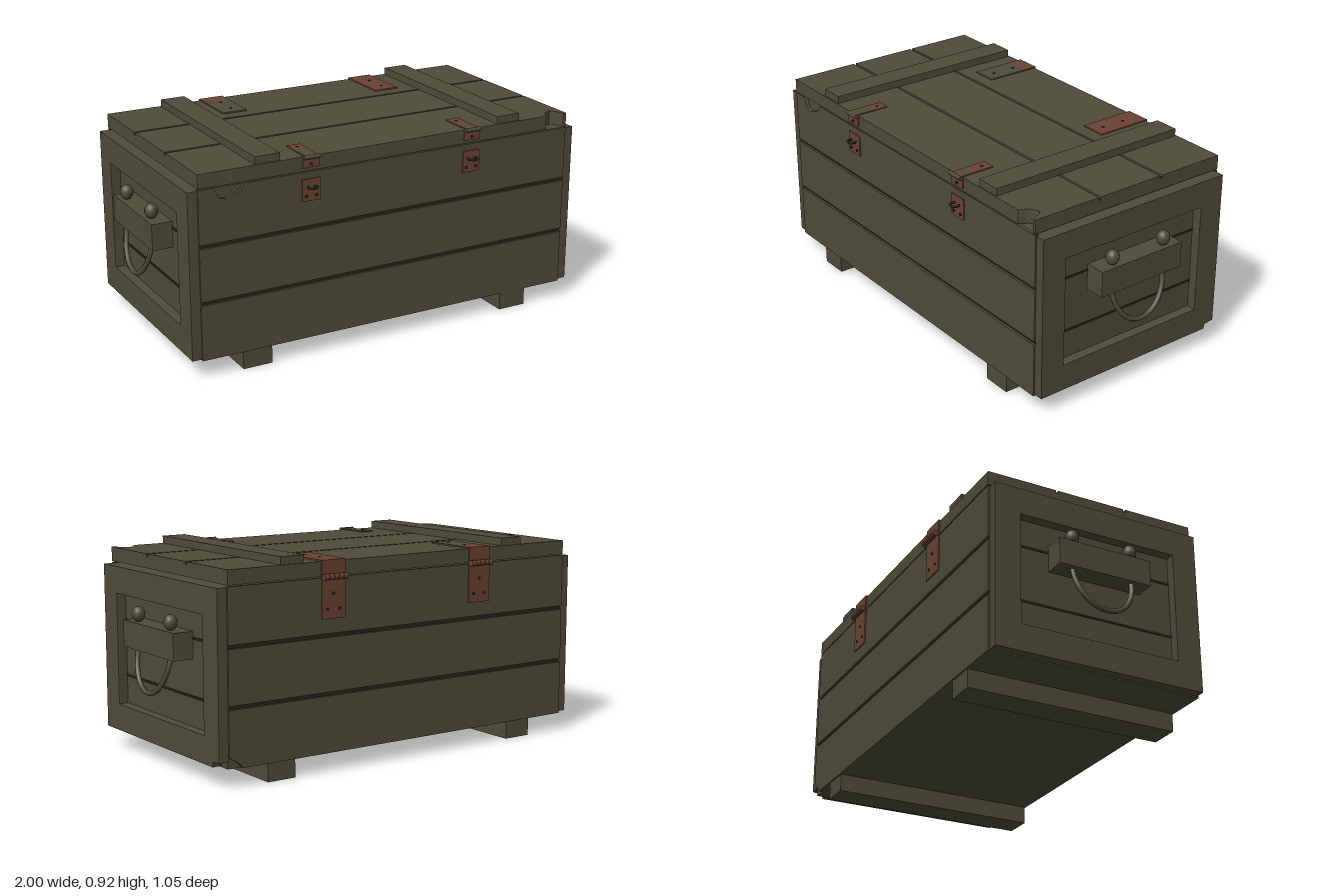
import * as THREE from 'three';

const paint = (name, color, side = THREE.FrontSide) => {
  const m = new THREE.MeshStandardMaterial({ color, side });
  m.name = name;
  return m;
};

export function createModel() {
  const wood = paint('olive wood', 0x4f4b39);
  const dark = paint('dark groove', 0x25231c);
  const rust = paint('rusty metal', 0x6b4233);

  const group = (name, parent) => {
    const g = new THREE.Group();
    g.name = name;
    if (parent) parent.add(g);
    return g;
  };
  const add = (parent, name, geometry, material, x = 0, y = 0, z = 0) => {
    const m = new THREE.Mesh(geometry, material);
    m.name = name;
    m.position.set(x, y, z);
    parent.add(m);
    return m;
  };
  // Box given by its limits on each axis
  const box = (parent, name, mat, x0, x1, y0, y1, z0, z1) =>
    add(parent, name, new THREE.BoxGeometry(x1 - x0, y1 - y0, z1 - z0), mat,
      (x0 + x1) / 2, (y0 + y1) / 2, (z0 + z1) / 2);
  const outline = (pts) => new THREE.Shape(pts.map(([a, b]) => new THREE.Vector2(a, b)));
  const slab = (shape, depth) => new THREE.ExtrudeGeometry(shape, { depth, bevelEnabled: false });

  const crate = group('crate');
  const body = group('body', crate);
  const lid = group('lid', crate);
  const W = 0.893, F = 0.48, B = -0.49, T = 0.016;

  // Body core, with dark strips at the bottom of the board gaps
  box(body, 'core', wood, -W, W, 0.08, 0.812, B + T, F - T);
  for (const y of [0.33, 0.575]) {
    box(body, 'frontGroove', dark, -W, W, y - 0.008, y + 0.008, F - T, F - T + 0.006);
    box(body, 'backGroove', dark, -W, W, y - 0.008, y + 0.008, B + T - 0.006, B + T);
    for (const s of [-1, 1]) {
      const x = s * (W + 0.001);
      box(body, 'endGroove', dark, x - 0.002, x + 0.002, y - 0.005, y + 0.005, -0.37, 0.365);
    }
  }

  // Long side boards, the top front and bottom back ones chipped
  const rows = [[0.08, 0.322], [0.338, 0.567], [0.583, 0.816]];
  rows.forEach(([y0, y1], i) => {
    const front = [[-W, y0], [W, y0], [W, y1]];
    if (i === 2) front.push([-0.69, y1], [-0.7, 0.79], [-0.73, 0.777], [-0.77, 0.762], [-0.8, 0.77], [-0.825, y1]);
    front.push([-W, y1]);
    add(body, 'frontBoard', slab(outline(front), T), wood, 0, 0, F - T);
    const back = [[-W, y0]];
    if (i === 0) back.push([0.83, y0], [0.845, 0.1], [0.87, 0.115], [W, 0.13]);
    else back.push([W, y0]);
    back.push([W, y1], [-W, y1]);
    add(body, 'backBoard', slab(outline(back), T), wood, 0, 0, B);
  });

  // End frames around a recessed panel; one has a broken lower corner
  for (const s of [-1, 1]) {
    const pts = [[-0.473, 0.086], [0.481, 0.086], [0.481, 0.812], [-0.473, 0.812]];
    if (s > 0) pts.splice(1, 1, [0.43, 0.086], [0.435, 0.108], [0.481, 0.112]);
    const shape = outline(pts);
    shape.holes.push(new THREE.Path([[-0.36, 0.204], [-0.36, 0.695], [0.366, 0.695], [0.366, 0.204]]
      .map(([a, b]) => new THREE.Vector2(a, b))));
    const geo = slab(shape, 0.043);
    geo.rotateY(Math.PI / 2);
    add(body, 'endFrame', geo, wood, s > 0 ? W : -W - 0.043);
  }

  // Feet, lid battens and small spacers under the lid
  for (const s of [-1, 1]) {
    const span = (a, b) => (s > 0 ? [a, b] : [-b, -a]);
    box(body, 'foot', wood, ...span(0.575, 0.708), 0, 0.08, -0.483, 0.475);
    box(lid, 'batten', wood, ...span(0.527, 0.64), 0.883, 0.916, -0.483, 0.475);
    for (const z of [-0.37, 0.37]) {
      box(lid, 'spacer', wood, ...span(0.6, 0.66), 0.81, 0.823, z - 0.03, z + 0.03);
    }
  }

  // Lid boards over a thin core, with a bite out of the front corner
  box(lid, 'lidCore', wood, -W, W, 0.821, 0.868, B + 0.02, 0.405);
  for (const z of [-0.169, 0.156]) {
    box(lid, 'lidGroove', dark, -W, W, 0.868, 0.873, z - 0.006, z + 0.006);
  }
  [[B, -0.175], [-0.163, 0.15], [0.162, F]].forEach(([z0, z1], i) => {
    const pts = [[-W, z0], [W, z0], [W, z1]];
    if (i === 2) pts.push([0.878, z1], [0.865, 0.445], [0.845, 0.42], [0.82, 0.43], [0.8, 0.445], [0.785, z1]);
    pts.push([-W, z1]);
    const geo = slab(outline(pts), i === 1 ? T : 0.062);
    geo.rotateX(Math.PI / 2);
    add(lid, 'lidBoard', geo, wood, 0, 0.883, 0);
  });

  // Rope handles: block, two knots and a hanging loop
  for (const s of [-1, 1]) {
    const handle = group(s > 0 ? 'leftHandle' : 'rightHandle', crate);
    box(handle, 'handleBlock', wood, s > 0 ? W : -0.985, s > 0 ? 0.985 : -W, 0.488, 0.603, -0.216, 0.21);
    const pts = [];
    for (let i = 0; i <= 16; i++) {
      const a = Math.PI * i / 16, d = Math.sin(a);
      pts.push(new THREE.Vector3(s * (0.955 + 0.034 * d), 0.492 - 0.17 * d, -0.004 + 0.138 * Math.cos(a)));
    }
    add(handle, 'rope', new THREE.TubeGeometry(new THREE.CatmullRomCurve3(pts), 32, 0.011, 8), wood);
    for (const z of [-0.14, 0.133]) {
      add(handle, 'knot', new THREE.SphereGeometry(0.029, 16, 12), wood, s * 0.953, 0.635, z).scale.y = 1.17;
    }
  }

  // Screw heads facing up or along z
  const screw = (parent, x, y, z, upright) => {
    const m = add(parent, 'screw', new THREE.CylinderGeometry(0.007, 0.007, 0.006, 8), dark, x, y, z);
    if (!upright) m.rotation.x = Math.PI / 2;
  };
  const barrel = (parent, name, mat, x, y, z, r, length) => {
    add(parent, name, new THREE.CylinderGeometry(r, r, length, 12), mat, x, y, z).rotation.z = Math.PI / 2;
  };

  for (const s of [-1, 1]) {
    const x = s * 0.39;

    // Back hinges; the paint survives on one top leaf
    const hinge = group('hinge', crate);
    const split = s > 0 ? -0.236 : -0.42;
    box(hinge, 'topLeaf', rust, x - 0.058, x + 0.058, 0.883, 0.889, -0.496, split);
    if (s < 0) box(hinge, 'paintedTopLeaf', wood, x - 0.058, x + 0.058, 0.883, 0.889, split, -0.236);
    box(hinge, 'lidLeaf', rust, x - 0.058, x + 0.058, 0.825, 0.889, -0.496, B);
    box(hinge, 'lowerLeaf', rust, x - 0.058, x + 0.058, 0.645, 0.83, -0.496, B);
    for (let i = -2; i <= 2; i++) barrel(hinge, 'knuckle', rust, x + i * 0.0235, 0.82, -0.509, 0.013, 0.021);
    for (const z of [-0.4, -0.29]) screw(hinge, x + 0.005, 0.888, z, true);
    for (const dx of [-0.03, 0.03]) screw(hinge, x + dx, 0.685, -0.496, false);
    screw(hinge, x, 0.75, -0.496, false);

    // Front latches: lid strap, catch plate and ring
    const latch = group('latch', crate);
    const edge = s > 0 ? 0.43 : 0.39;
    box(latch, 'strap', rust, x - 0.03, x + 0.03, 0.883, 0.888, 0.325, edge);
    box(latch, 'paintedStrap', wood, x - 0.03, x + 0.03, 0.883, 0.888, edge, 0.465);
    box(latch, 'strapEnd', rust, x - 0.03, x + 0.03, 0.883, 0.888, 0.465, 0.486);
    box(latch, 'strapTab', rust, x - 0.038, x + 0.038, 0.835, 0.886, F, 0.486);
    barrel(latch, 'latchPin', wood, x, 0.883, 0.494, 0.009, 0.075);
    box(latch, 'catchPlate', rust, x - 0.042, x + 0.042, 0.692, 0.787, F, 0.486);
    const ring = add(latch, 'catchRing', new THREE.TorusGeometry(0.02, 0.005, 6, 16), dark, x, 0.753, 0.498);
    ring.rotation.x = Math.PI / 2;
    for (const dx of [-0.024, 0.024]) screw(latch, x + dx, 0.714, 0.487, false);
    screw(latch, x, 0.85, 0.487, false);
    screw(latch, x, 0.887, 0.36, true);
  }

  return crate;
}
